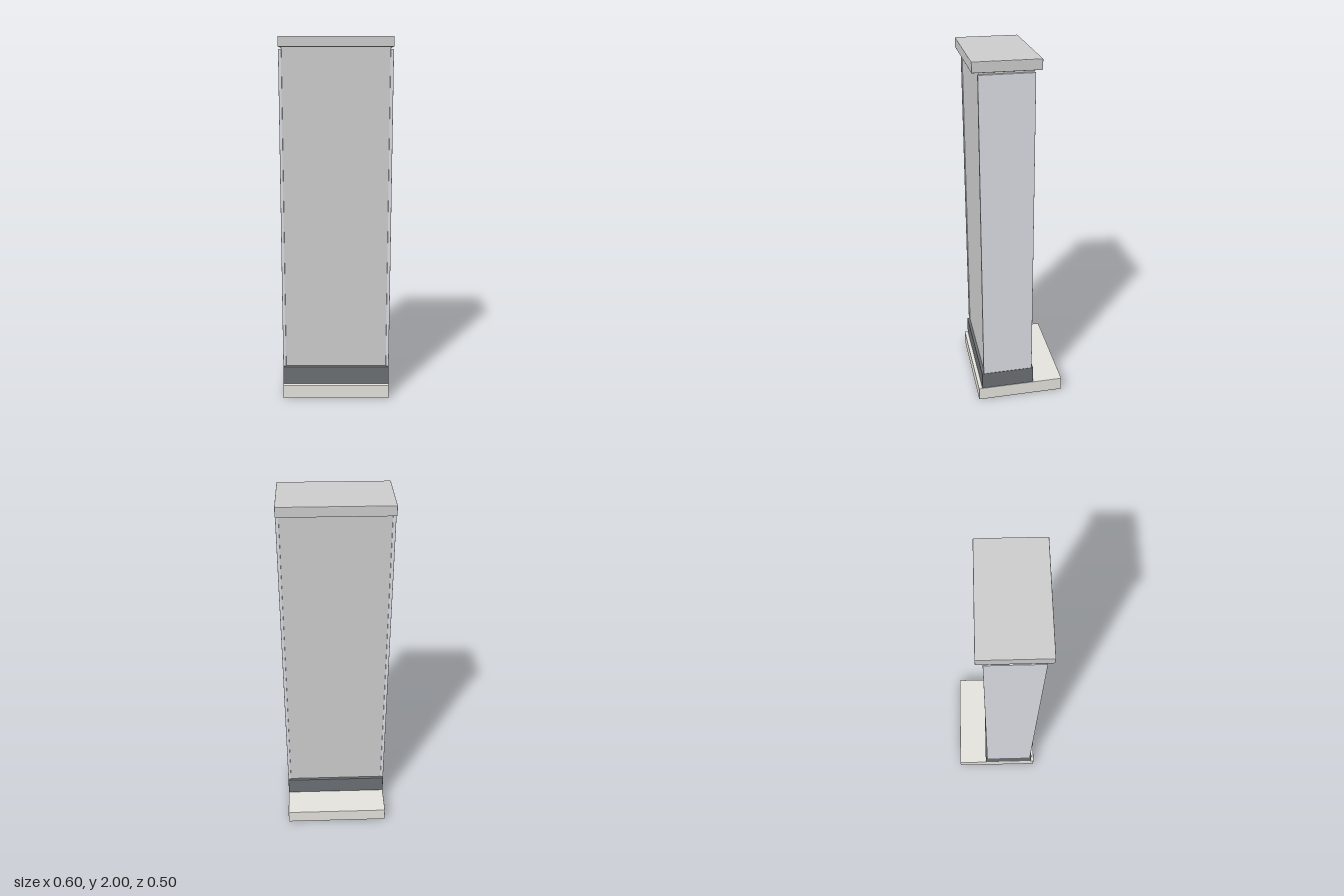
import * as THREE from 'three';
import { RoundedBoxGeometry } from 'three/addons/geometries/RoundedBoxGeometry.js';

const material = (color) => new THREE.MeshStandardMaterial({ color, flatShading: true });

export function createModel() {
  const group = new THREE.Group();
  const grey = material(0xcccccc);
  const stone = material(0xe4e2dc);
  const dark = material(0x6b6f73);
  const pale = material(0xdadce2);

  // Box with a fine chamfer, given by its extents on each axis
  function slab(name, mat, [x0, x1], [y0, y1], [z0, z1], bevel) {
    const geometry = new RoundedBoxGeometry(x1 - x0, y1 - y0, z1 - z0, 1, bevel);
    const mesh = new THREE.Mesh(geometry, mat);
    mesh.name = name;
    mesh.position.set((x0 + x1) / 2, (y0 + y1) / 2, (z0 + z1) / 2);
    group.add(mesh);
  }

  // Footing that extends behind the column, with the dark plinth on it
  slab('base', stone, [-0.299, 0.299], [0, 0.08], [-0.25, 0.25], 0.004);
  slab('plinth', dark, [-0.299, 0.299], [0.08, 0.185], [-0.075, 0.23], 0.004);

  // Recessed core, reaching up to the cap
  slab('core', grey, [-0.285, 0.285], [0.18, 1.95], [-0.059, 0.214], 0.002);

  // Side panels standing slightly proud of the core
  slab('leftPanel', pale, [0.282, 0.299], [0.185, 1.935], [-0.065, 0.22], 0.002);
  slab('rightPanel', pale, [-0.299, -0.282], [0.185, 1.935], [-0.065, 0.22], 0.002);

  // Overhanging cap
  slab('cap', grey, [-0.299, 0.299], [1.945, 2], [-0.099, 0.25], 0.004);

  return group;
}
